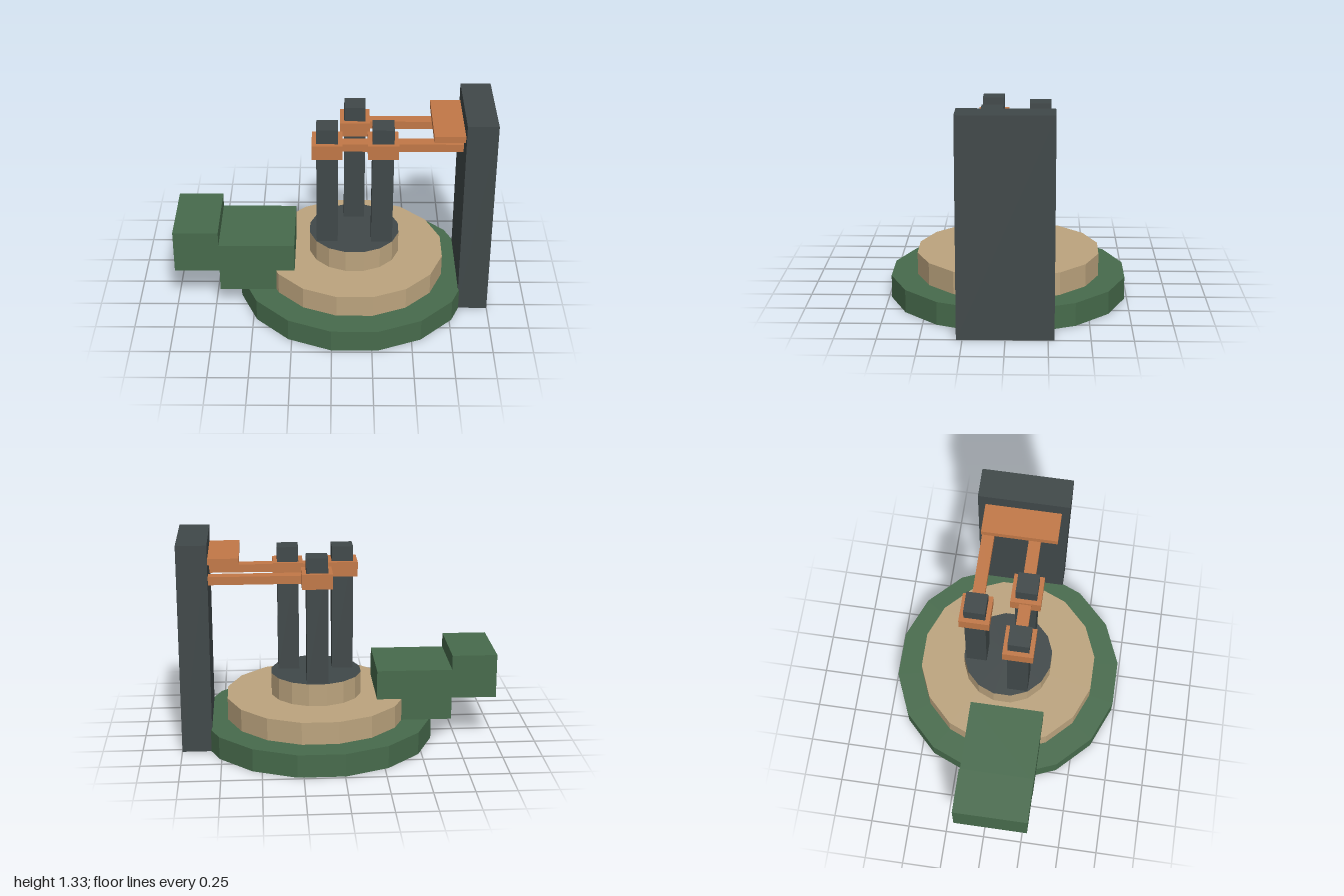
import * as THREE from 'three';

const mat = (name, color) => {
  const m = new THREE.MeshStandardMaterial({ color });
  m.name = name;
  return m;
};

export function createModel() {
  const green = mat('green', 0x476b4c);
  green.side = THREE.DoubleSide; // the base is open underneath
  const tan = mat('tan', 0xbca47e);
  const slate = mat('slate', 0x404849);
  const copper = mat('copper', 0xc27847);
  const group = new THREE.Group();

  const add = (name, geometry, material) => {
    const mesh = new THREE.Mesh(geometry, material);
    mesh.name = name;
    group.add(mesh);
    return mesh;
  };

  // Box given by its limits on each axis
  const box = (name, material, [x0, x1], [y0, y1], [z0, z1]) =>
    add(name, new THREE.BoxGeometry(x1 - x0, y1 - y0, z1 - z0), material)
      .position.set((x0 + x1) / 2, (y0 + y1) / 2, (z0 + z1) / 2);

  // Sixteen-sided stepped tiers, open below, flat sides facing the axes
  const cx = 0.143;
  const tier = (name, r, y0, y1, wallMaterial, topMaterial) => {
    const wall = new THREE.CylinderGeometry(r, r, y1 - y0, 16, 1, true, Math.PI / 16).toNonIndexed();
    wall.computeVertexNormals();
    add(name + 'Wall', wall, wallMaterial).position.set(cx, (y0 + y1) / 2, 0);
    const top = new THREE.CircleGeometry(r, 16, Math.PI / 16).rotateX(-Math.PI / 2);
    add(name + 'Top', top, topMaterial).position.set(cx, y1, 0);
  };
  tier('baseTier', 0.747, 0, 0.145, green, green);
  tier('middleTier', 0.58, 0.145, 0.288, tan, tan);
  tier('topTier', 0.291, 0.288, 0.432, tan, slate);

  // Stepped side blocks
  box('innerBlock', green, [-0.715, -0.237], [0.145, 0.477], [-0.191, 0.286]);
  box('outerBlock', green, [-1, -0.715], [0.288, 0.57], [-0.191, 0.286]);

  // Tall tower
  box('tower', slate, [0.81, 1], [0, 1.333], [-0.287, 0.286]);

  // Pillars with collars
  for (const [x, z] of [[cx - 0.173, 0.094], [cx + 0.173, 0.094], [cx, -0.201]]) {
    const span = (c, h) => [c - h, c + h];
    box('pillar', slate, span(x, 0.067), [0.43, 1.238], span(z, 0.067));
    box('collar', copper, span(x, 0.095), [1.049, 1.143], span(z, 0.095));
  }

  // Arms from the collars to the tower
  box('frontArm', copper, [0.06, 0.81], [1.073, 1.124], [0.054, 0.13]);
  box('backArm', copper, [0.235, 0.81], [1.073, 1.124], [-0.241, -0.164]);

  // Platform on the tower
  box('platform', copper, [0.619, 0.81], [1.197, 1.238], [-0.241, 0.238]);

  return group;
}
